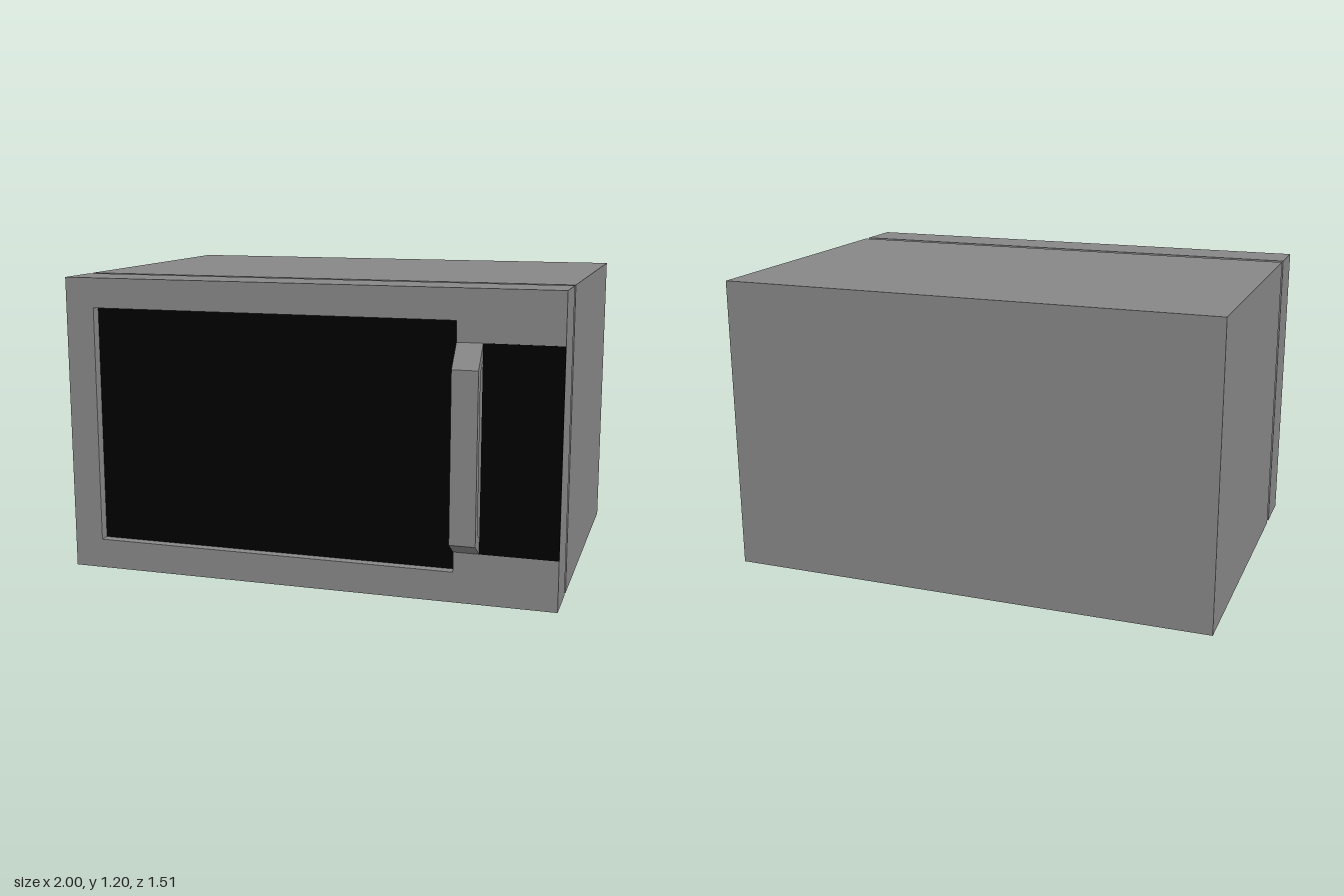
import * as THREE from 'three';

const grey = new THREE.MeshStandardMaterial({ color: 0x878787 });
const black = new THREE.MeshStandardMaterial({ color: 0x000000 });

const polygon = (points, Type = THREE.Shape) => new Type(points.map(([x, y]) => new THREE.Vector2(x, y)));
const rect = (x0, x1, y0, y1) => [[x0, y0], [x1, y0], [x1, y1], [x0, y1]];

export function createModel() {
  const model = new THREE.Group();
  model.name = 'microwaveOven';

  const add = (name, geometry, material) => {
    const mesh = new THREE.Mesh(geometry, material);
    mesh.name = name;
    model.add(mesh);
    return mesh;
  };
  // Box given by its limits on each axis
  const box = (name, material, [x0, x1], [y0, y1], [z0, z1]) =>
    add(name, new THREE.BoxGeometry(x1 - x0, y1 - y0, z1 - z0), material)
      .position.set((x0 + x1) / 2, (y0 + y1) / 2, (z0 + z1) / 2);

  // Housing and the dark seal in the gap behind the door
  box('body', grey, [-1, 1], [0, 1.2], [-0.755, 0.442]);
  box('doorSeal', black, [-0.92, 0.92], [0.08, 1.12], [0.442, 0.475]);

  // Door frame with a window opening
  const frame = polygon(rect(-1, 1, 0, 1.2));
  frame.holes.push(polygon(rect(-0.88, 0.6, 0.12, 1.08), THREE.Path));
  add('door', new THREE.ExtrudeGeometry(frame, { depth: 0.2, bevelEnabled: false }), grey)
    .position.z = 0.475;

  // Recessed window and flush control panel
  box('window', black, [-0.88, 0.6], [0.12, 1.08], [0.475, 0.635]);
  box('controlPanel', black, [0.7, 1], [0.2, 1], [0.67, 0.677]);

  // Bracket handle: side profile in (z, y), extruded across x
  const profile = polygon([
    [0.675, 0.2], [0.755, 0.25], [0.755, 0.91], [0.675, 1],
    [0.675, 0.94], [0.716, 0.895], [0.716, 0.287], [0.675, 0.262],
  ]);
  const handle = add('handle', new THREE.ExtrudeGeometry(profile, { depth: 0.1, bevelEnabled: false }), grey);
  handle.rotation.y = -Math.PI / 2;
  handle.position.x = 0.7;

  return model;
}
